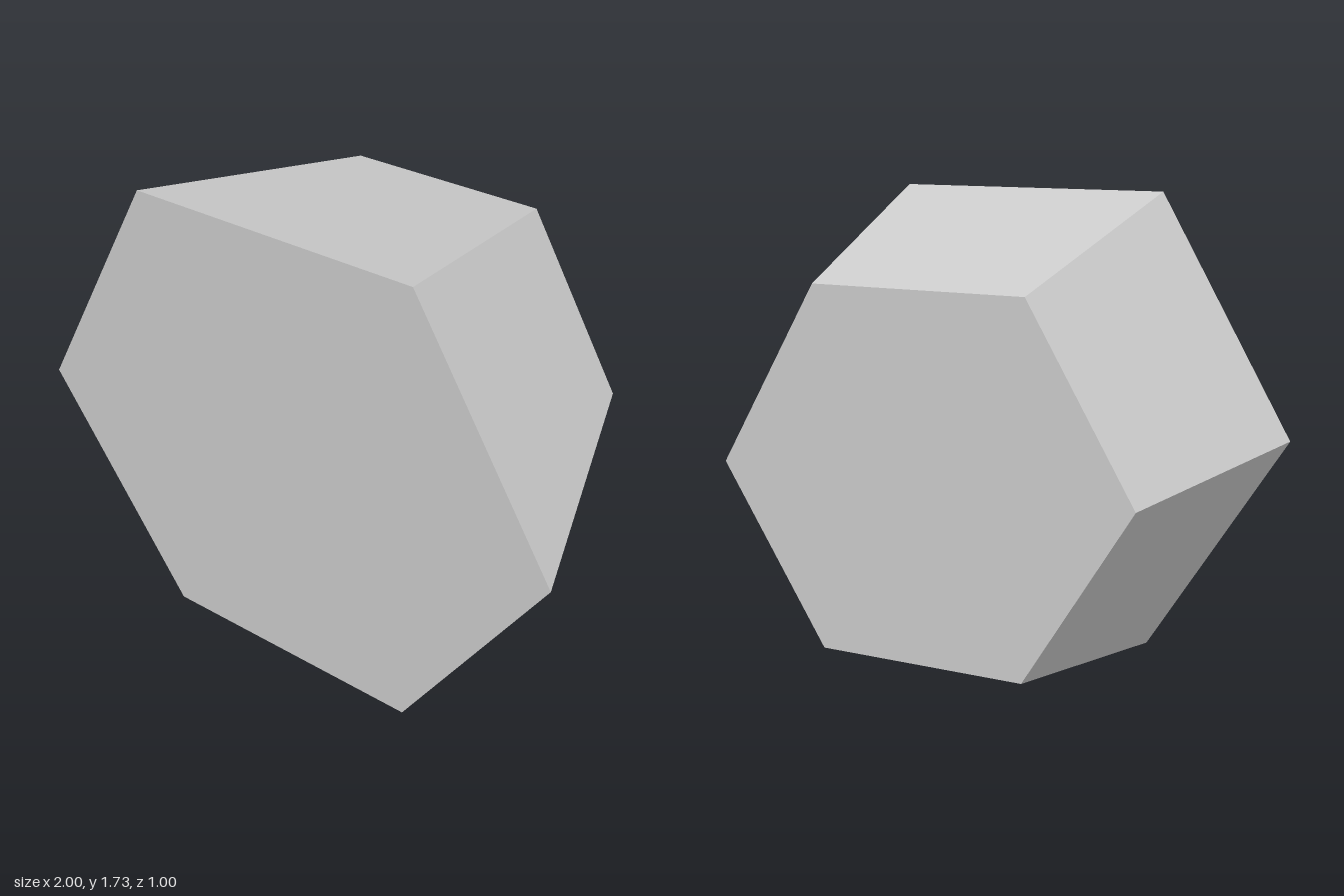
import * as THREE from 'three';

export function createModel() {
  const model = new THREE.Group();
  model.name = 'hexagonalFrustum';

  const grey = new THREE.MeshStandardMaterial({ color: 0xcccccc, flatShading: true });
  grey.name = 'light grey';

  const frontRadius = 1, backRadius = 0.72, depth = 1;

  // Six-sided tapered block, wide end facing +z, with corners at left and right
  const geometry = new THREE.CylinderGeometry(
    frontRadius, backRadius, depth, 6, 1, false, Math.PI / 6
  ).toNonIndexed();
  geometry.rotateX(Math.PI / 2);
  geometry.translate(0, frontRadius * Math.sin(Math.PI / 3), 0);
  geometry.computeVertexNormals();

  const body = new THREE.Mesh(geometry, grey);
  body.name = 'taperedHexagonalBody';
  model.add(body);
  return model;
}
